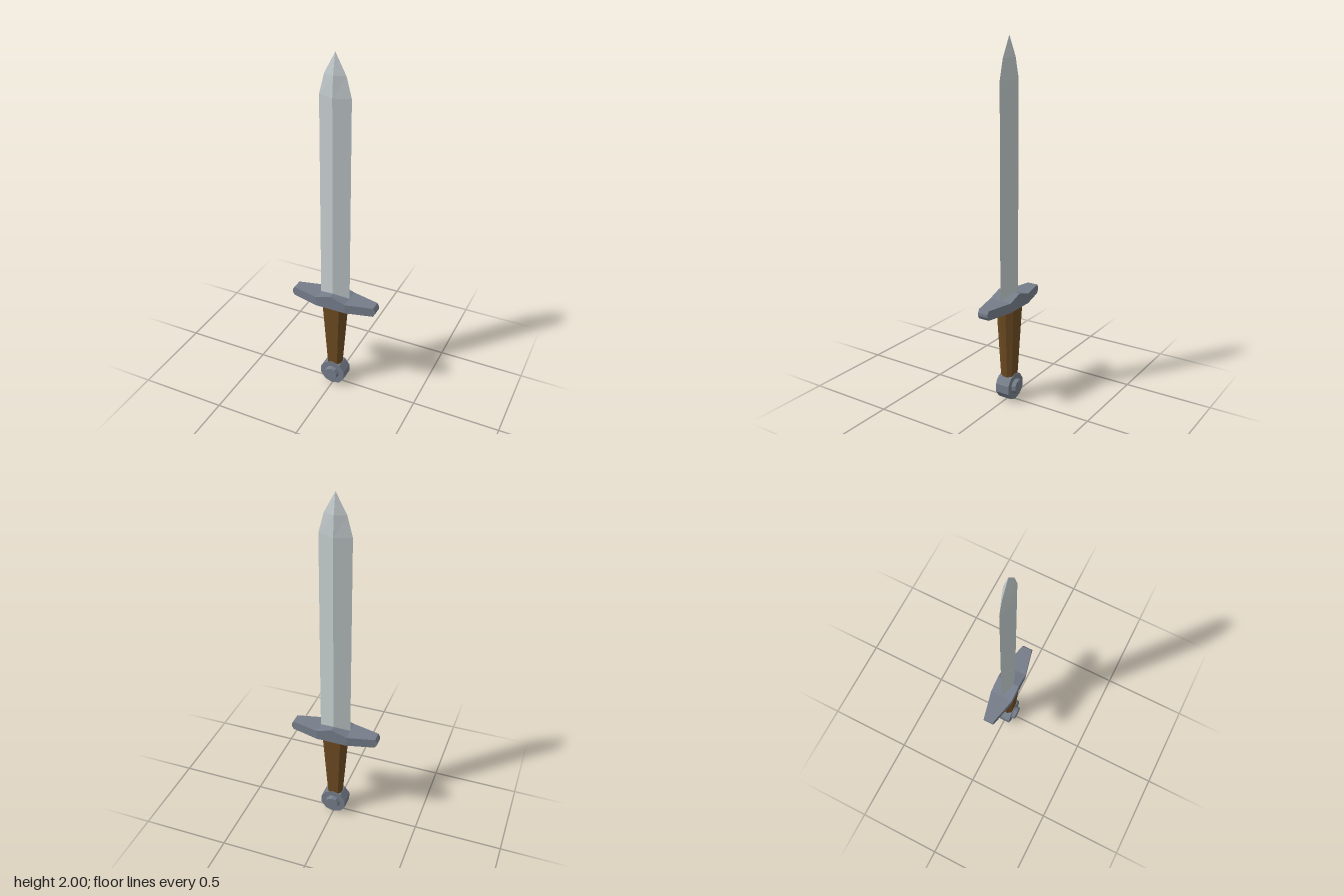
import * as THREE from 'three';

const steel = new THREE.MeshStandardMaterial({ name: 'blade steel', color: 0xc2cacb, flatShading: true });
const iron = new THREE.MeshStandardMaterial({ name: 'dark iron', color: 0x757d8a, flatShading: true });
const leather = new THREE.MeshStandardMaterial({ name: 'brown grip', color: 0x6d4b22, flatShading: true });

// Skins a list of rings; each ring runs counter-clockwise seen from the last ring's end.
function loft(rings) {
  const out = [];
  const tri = (a, b, c) => out.push(...a, ...b, ...c);
  const n = rings[0].length;
  for (let r = 0; r < rings.length - 1; r++) {
    const lo = rings[r], hi = rings[r + 1];
    for (let i = 0; i < n; i++) {
      const j = (i + 1) % n;
      tri(lo[i], lo[j], hi[j]);
      tri(lo[i], hi[j], hi[i]);
    }
  }
  const first = rings[0], last = rings[rings.length - 1];
  for (let i = 1; i < n - 1; i++) {
    tri(first[0], first[i + 1], first[i]);
    tri(last[0], last[i], last[i + 1]);
  }
  const geometry = new THREE.BufferGeometry();
  geometry.setAttribute('position', new THREE.Float32BufferAttribute(out, 3));
  geometry.computeVertexNormals();
  return geometry;
}

export function createModel() {
  const sword = new THREE.Group();
  sword.name = 'sword';
  const add = (name, geometry, material) => {
    const mesh = new THREE.Mesh(geometry, material);
    mesh.name = name;
    sword.add(mesh);
    return mesh;
  };

  // Blade: diamond sections [y, half width, half depth] closing to a point
  const bladeSections = [[0.58, 0.088, 0.034], [1.78, 0.088, 0.034], [1.89, 0.059, 0.025], [2, 0.0005, 0.0005]];
  add('blade', loft(bladeSections.map(([y, w, d]) => [[w, y, 0], [0, y, -d], [-w, y, 0], [0, y, d]])), steel);

  // Crossguard: rectangular sections [x, bottom, top, half depth], mirrored
  const half = [[0.088, 0.555, 0.61, 0.067], [0.243, 0.557, 0.61, 0.031], [0.254, 0.575, 0.592, 0.03]];
  const guardSections = [
    ...half.map(([x, b, t, d]) => [-x, b, t, d]).reverse(),
    [0, 0.555, 0.64, 0.067],
    ...half,
  ];
  add('crossguard', loft(guardSections.map(([x, b, t, d]) => [[x, b, d], [x, b, -d], [x, t, -d], [x, t, d]])), iron);

  // Grip: tapered eight-sided handle, sections [y, outer x, inner x, inner z, outer z]
  const gripSections = [[0.12, 0.041, 0.027, 0.013, 0.036], [0.558, 0.072, 0.047, 0.02, 0.054]];
  add('grip', loft(gripSections.map(([y, X, x, z, Z]) => [
    [X, y, z], [X, y, -z], [x, y, -Z], [-x, y, -Z],
    [-X, y, -z], [-X, y, z], [-x, y, Z], [x, y, Z],
  ])), leather);

  // Pommel: ten-sided disc lying front to back, with a stud on each face
  const pommelY = 0.078;
  const disc = add('pommel', new THREE.CylinderGeometry(0.077, 0.077, 0.082, 10).rotateX(Math.PI / 2), iron);
  disc.position.y = pommelY;
  for (const side of [1, -1]) {
    const stud = add(side > 0 ? 'frontStud' : 'backStud',
      new THREE.CylinderGeometry(0.038, 0.044, 0.024, 10).rotateX(side * Math.PI / 2), iron);
    stud.position.set(0, pommelY + 0.003, side * 0.052);
  }

  return sword;
}
